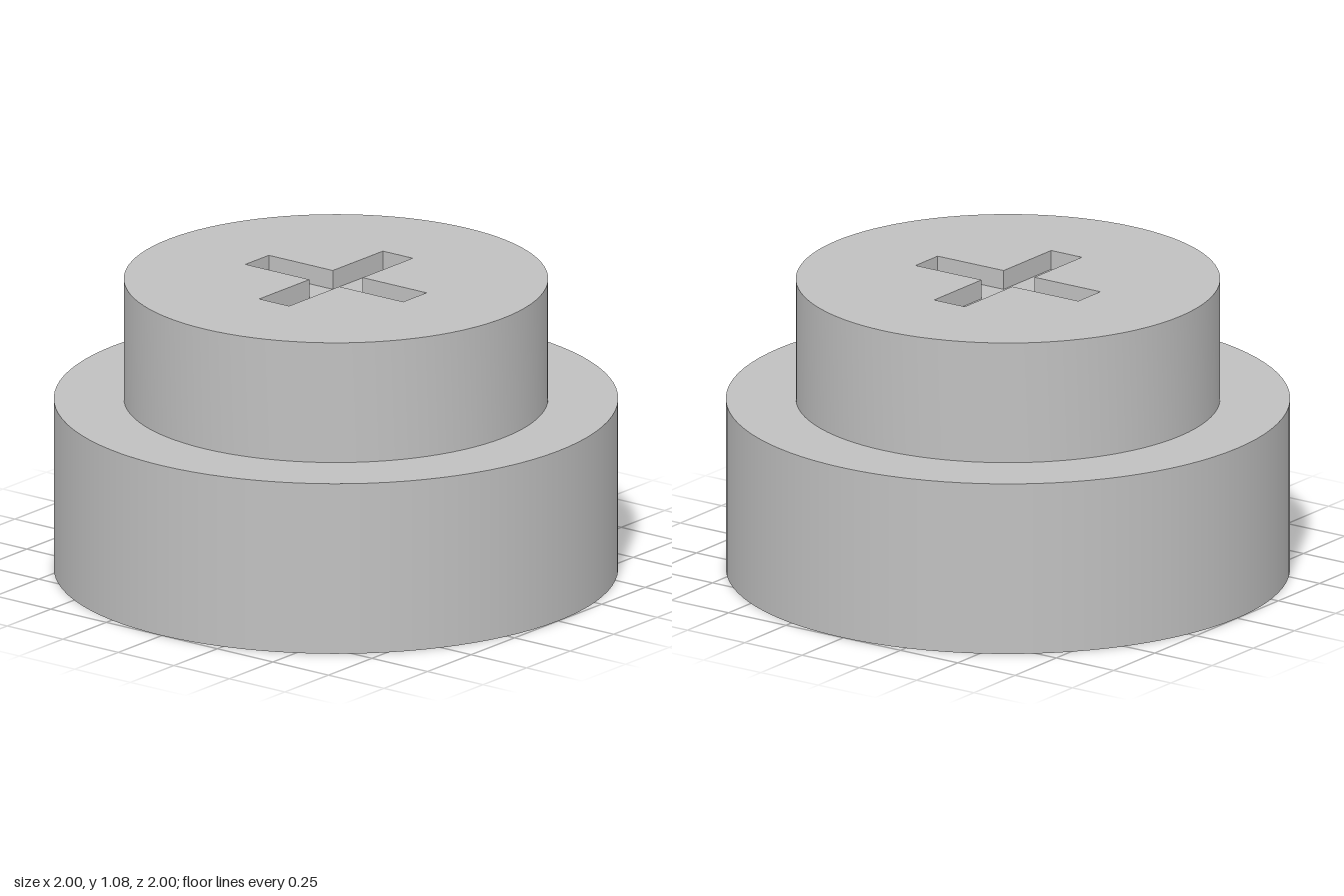
import * as THREE from 'three';
import { toCreasedNormals } from 'three/addons/utils/BufferGeometryUtils.js';

const BASE_RADIUS = 1, BASE_HEIGHT = 0.632;
const STUD_RADIUS = 0.752, TOP = 1.077;
const SLOT_LENGTH = 0.355, SLOT_HALF_WIDTH = 0.067, SLOT_DEPTH = 0.07;

// Outline of the cross-shaped slot, one arm corner group per quarter turn
function crossPoints() {
  const points = [];
  for (let i = 0; i < 4; i++) {
    const arm = [
      [SLOT_LENGTH, -SLOT_HALF_WIDTH],
      [SLOT_LENGTH, SLOT_HALF_WIDTH],
      [SLOT_HALF_WIDTH, SLOT_HALF_WIDTH],
    ];
    for (const [x, y] of arm) {
      points.push(new THREE.Vector2(x, y).rotateAround(new THREE.Vector2(), i * Math.PI / 2));
    }
  }
  return points;
}

export function createModel() {
  const group = new THREE.Group();
  const grey = new THREE.MeshStandardMaterial({ color: 0xc0c0c0 });
  grey.name = 'grey';

  const add = (name, geometry, y) => {
    const mesh = new THREE.Mesh(geometry, grey);
    mesh.name = name;
    mesh.position.y = y;
    group.add(mesh);
  };

  // Wide lower disc
  add('base', new THREE.CylinderGeometry(BASE_RADIUS, BASE_RADIUS, BASE_HEIGHT, 96), BASE_HEIGHT / 2);

  // Narrower upper disc, pierced by the slot
  const outline = new THREE.Shape().absarc(0, 0, STUD_RADIUS, 0, Math.PI * 2);
  outline.holes.push(new THREE.Path(crossPoints()));
  const stud = new THREE.ExtrudeGeometry(outline, {
    depth: TOP - BASE_HEIGHT, bevelEnabled: false, curveSegments: 48,
  });
  stud.rotateX(-Math.PI / 2);
  add('stud', toCreasedNormals(stud, Math.PI / 6), BASE_HEIGHT);

  // Shallow floor that closes the slot
  const floor = new THREE.ShapeGeometry(new THREE.Shape(crossPoints()));
  floor.rotateX(-Math.PI / 2);
  add('slotFloor', floor, TOP - SLOT_DEPTH);

  return group;
}
